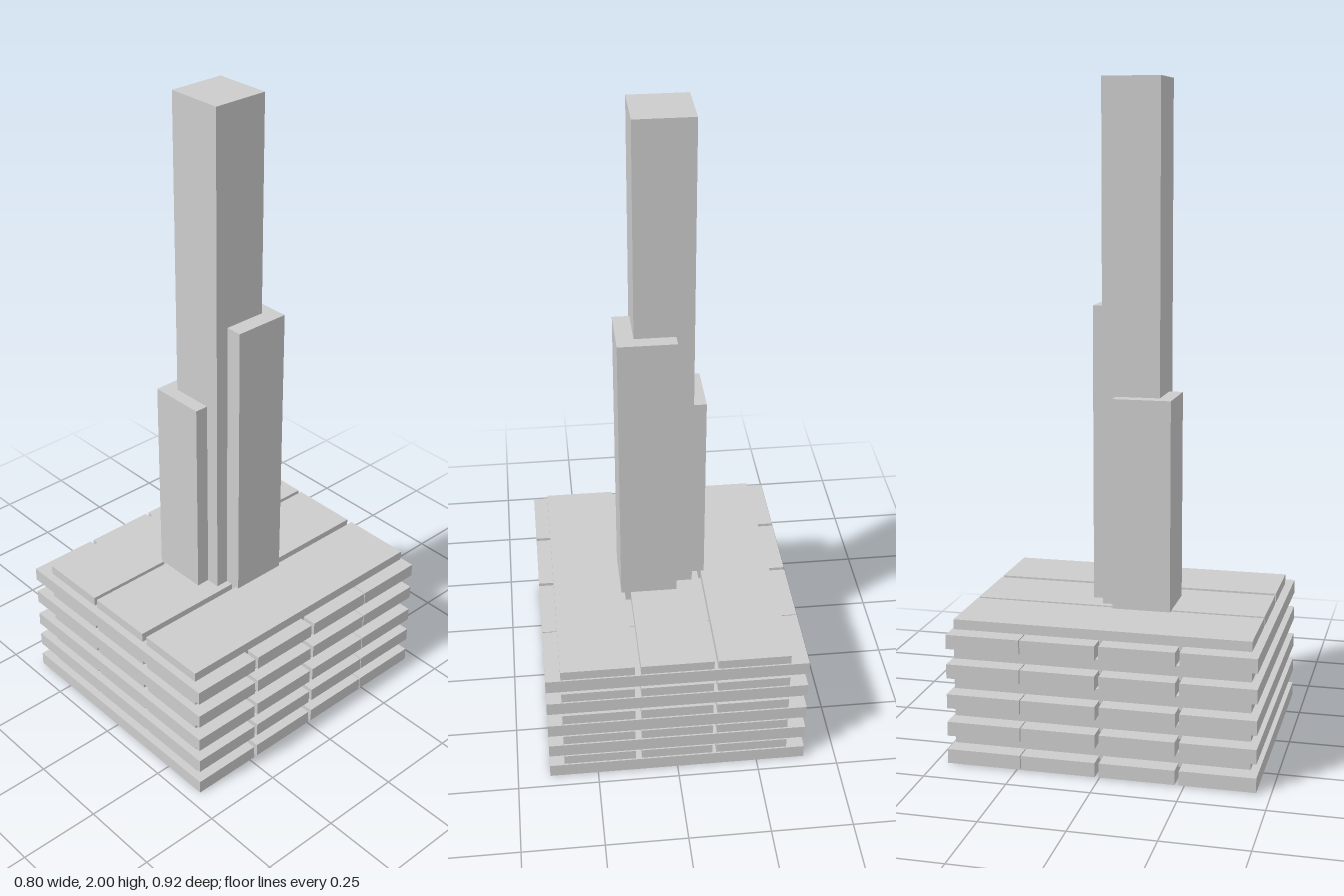
import * as THREE from 'three';

const material = new THREE.MeshStandardMaterial({ color: 0xcccccc, flatShading: true });

// Box given by its extents on each axis
function block(name, [x0, x1], [y0, y1], [z0, z1]) {
  const mesh = new THREE.Mesh(new THREE.BoxGeometry(x1 - x0, y1 - y0, z1 - z0), material);
  mesh.name = name;
  mesh.position.set((x0 + x1) / 2, (y0 + y1) / 2, (z0 + z1) / 2);
  return mesh;
}

export function createModel() {
  const model = new THREE.Group();
  model.name = 'towerOnPlankStack';

  // Stacked base: each tier has four cross planks and three long planks set into them
  const thickness = 0.043;
  const tierTops = [[0.046, 0.078], [0.131, 0.163], [0.216, 0.25], [0.308, 0.34], [0.398, 0.428]];
  const crossSpans = [[-0.461, -0.239], [-0.236, -0.013], [-0.001, 0.223], [0.235, 0.458]];
  const longSpans = [[-0.344, -0.122], [-0.11, 0.112], [0.131, 0.354]];
  tierTops.forEach(([crossTop, longTop], i) => {
    const tier = new THREE.Group();
    tier.name = `plankTier${i + 1}`;
    for (const z of crossSpans) {
      tier.add(block('crossPlank', [-0.4, 0.4], [crossTop - thickness, crossTop], z));
    }
    for (const x of longSpans) {
      tier.add(block('longPlank', x, [longTop - thickness, longTop], [-0.456, 0.433]));
    }
    model.add(tier);
  });

  // Three overlapping square towers rising through the base
  model.add(
    block('mainTower', [-0.088, 0.09], [0, 2], [-0.067, 0.109]),
    block('middleTower', [-0.034, 0.142], [0, 1.333], [-0.109, 0.068]),
    block('lowTower', [-0.132, 0.046], [0, 1.068], [-0.026, 0.151]),
  );
  return model;
}
